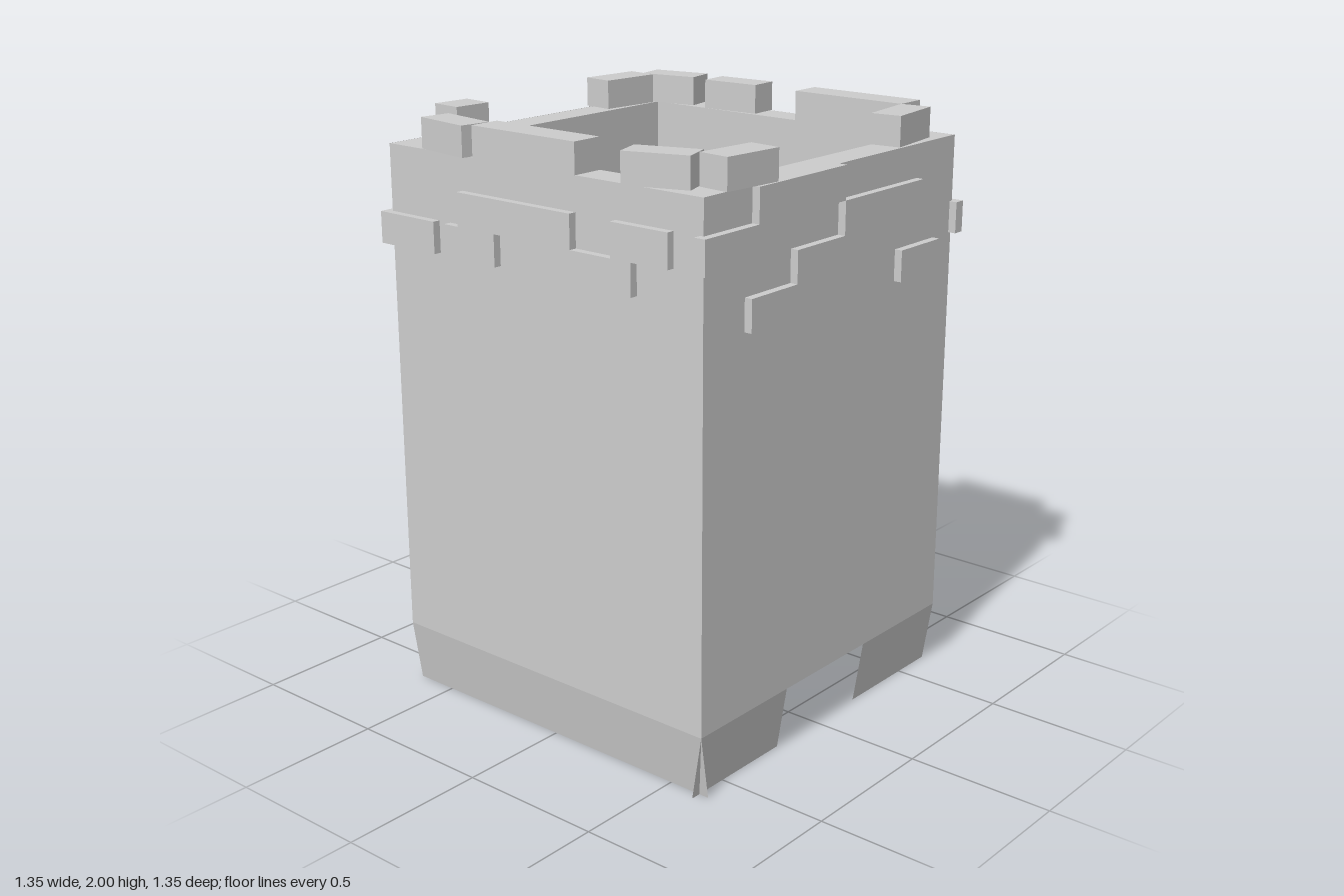
import * as THREE from 'three';

export function createModel() {
  const model = new THREE.Group();
  const stone = new THREE.MeshStandardMaterial({ color: 0xcccccc, side: THREE.DoubleSide });
  stone.name = 'stone grey';

  const R = 0.65, INNER = 0.54, TOP = 1.9, SKIRT = 0.22;

  function add(parent, geometry, name) {
    const mesh = new THREE.Mesh(geometry, stone);
    mesh.name = name;
    parent.add(mesh);
    return mesh;
  }

  // Square ring of masonry between two heights
  function ring(y0, y1, name) {
    const square = (Type, r) => {
      const s = new Type();
      s.moveTo(-r, -r); s.lineTo(r, -r); s.lineTo(r, r); s.lineTo(-r, r); s.closePath();
      return s;
    };
    const shape = square(THREE.Shape, R - 0.002);
    shape.holes.push(square(THREE.Path, INNER));
    const g = new THREE.ExtrudeGeometry(shape, { depth: y1 - y0, bevelEnabled: false });
    g.rotateX(-Math.PI / 2).translate(0, y0, 0);
    add(model, g, name);
  }
  ring(1.575, TOP, 'parapetRing');
  ring(1.36, 1.47, 'innerLedge');

  // Each side is built facing +z and turned into place.
  // bricks: [course, from, to]; flaps: [from, to], both along the side's own x
  const courses = [1.47, 1.575, 1.68, 1.79, 1.9];
  const sides = [
    { name: 'front', turn: 0, flaps: [[-R, -0.215], [0.215, R]],
      bricks: [[3, -0.43, 0], [2, -0.677, -0.43], [2, 0, 0.43], [1, -0.24, 0.19],
        [0, -0.46, -0.24], [0, 0.32, 0.54]] },
    { name: 'left', turn: Math.PI / 2, flaps: [[-0.215, 0.215]],
      bricks: [[3, -0.43, -0.22], [2, 0, 0.43], [1, -0.677, -0.43], [1, -0.22, 0.21],
        [0, -0.43, -0.22], [0, 0, 0.43]] },
    { name: 'back', turn: Math.PI, flaps: [[-0.215, 0.215]],
      bricks: [[3, -0.54, -0.32], [1, -0.54, -0.32], [2, -0.32, 0.11], [1, -0.11, 0.11],
        [0, -0.11, 0.11], [1, 0.32, 0.677]] },
    { name: 'right', turn: -Math.PI / 2, flaps: [[-R, R]],
      bricks: [[2, -0.32, 0.16], [2, 0.32, 0.54], [1, -0.677, -0.43], [1, -0.38, -0.16],
        [1, 0.16, 0.4]] },
  ];

  for (const { name, turn, flaps, bricks } of sides) {
    const side = new THREE.Group();
    side.name = name + 'Side';
    side.rotation.y = turn;
    model.add(side);

    // Thin main wall
    const wall = new THREE.PlaneGeometry(2 * R, TOP - SKIRT);
    wall.translate(0, (TOP + SKIRT) / 2, R);
    add(side, wall, name + 'Wall');

    // Skirt panels lean slightly inward at the bottom
    for (const [a, b] of flaps) {
      const g = new THREE.PlaneGeometry(b - a, SKIRT);
      g.translate((a + b) / 2, SKIRT / 2, R);
      const p = g.attributes.position;
      for (let i = 0; i < p.count; i++) if (p.getY(i) < 0.01) p.setZ(i, R - 0.035);
      g.computeVertexNormals();
      add(side, g, name + 'SkirtPanel');
    }

    // Raised bricks
    for (const [c, a, b] of bricks) {
      const y0 = courses[c], y1 = courses[c + 1];
      const g = new THREE.BoxGeometry(b - a, y1 - y0, 0.04);
      g.translate((a + b) / 2, (y0 + y1) / 2, 0.657);
      add(side, g, name + 'Brick');
    }
  }

  // Loose stones on the rim: [x, z, width, depth, turn]
  const stones = [
    [-0.37, -0.605, 0.135, 0.11, -0.07], [0.415, -0.61, 0.22, 0.11, -0.09],
    [0.59, -0.5, 0.105, 0.21, 0.19], [0.6, -0.215, 0.105, 0.215, 0.06],
    [0.44, 0.575, 0.215, 0.105, 0.13], [-0.437, 0.607, 0.215, 0.11, -0.09],
    [-0.585, 0.442, 0.105, 0.215, 0.33], [-0.608, -0.388, 0.105, 0.215, -0.14],
    [0.595, 0.295, 0.11, 0.43, 0], [-0.595, -0.055, 0.11, 0.43, 0],
  ];
  for (const [x, z, w, d, turn] of stones) {
    const m = add(model, new THREE.BoxGeometry(w, 0.1, d), 'rimStone');
    m.position.set(x, 1.95, z);
    m.rotation.y = turn;
  }
  return model;
}
